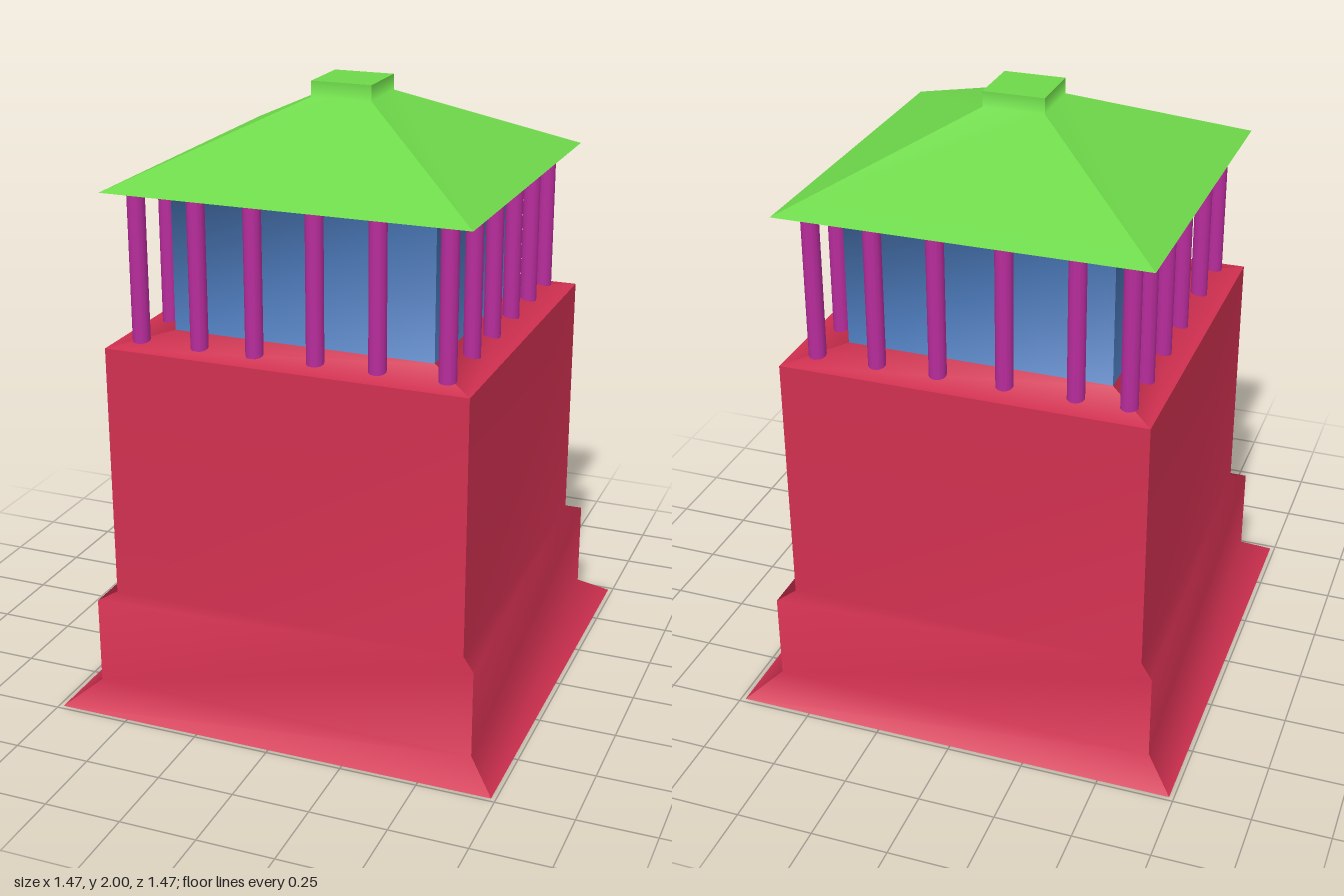
import * as THREE from 'three';
import { mergeGeometries } from 'three/addons/utils/BufferGeometryUtils.js';

const RED = 0xd03050, BLUE = 0x4a78b8, GREEN = 0x6ed84a, PURPLE = 0xb82c9c;

// Four-sided loft of a [half-width, height] profile: smooth along the profile, sharp at the corners.
// Only the bands first..last-1 are kept, so differently coloured parts can share normals.
function squareLoft(profile, first = 0, last = profile.length - 1) {
  const sides = [];
  for (let s = 0; s < 4; s++) {
    const positions = profile.flatMap(([r, y]) => [-r, y, r, r, y, r]);
    const bands = (from, to) => {
      const index = [];
      for (let i = from; i < to; i++) {
        const a = 2 * i;
        index.push(a, a + 1, a + 3, a, a + 3, a + 2);
      }
      return index;
    };
    const side = new THREE.BufferGeometry();
    side.setAttribute('position', new THREE.Float32BufferAttribute(positions, 3));
    side.setIndex(bands(0, profile.length - 1));
    side.computeVertexNormals();
    side.setIndex(bands(first, last));
    sides.push(side.toNonIndexed().rotateY(s * Math.PI / 2));
  }
  return mergeGeometries(sides);
}

// Flat square closing a loft, facing up or down
function lid(half, y, up) {
  const g = new THREE.PlaneGeometry(2 * half, 2 * half);
  return g.rotateX(up ? -Math.PI / 2 : Math.PI / 2).translate(0, y, 0);
}

export function createModel() {
  const model = new THREE.Group();
  const materials = {};
  const add = (name, geometry, color, parent = model) => {
    materials[color] ??= new THREE.MeshStandardMaterial({ color });
    const mesh = new THREE.Mesh(geometry, materials[color]);
    mesh.name = name;
    parent.add(mesh);
    return mesh;
  };

  // Tower body with flared foot and stepped plinth
  add('towerBody', squareLoft([[0.735, 0], [0.64, 0.07], [0.64, 0.36], [0.593, 0.38], [0.593, 1.22]]), RED);
  add('underside', lid(0.735, 0, false), RED);

  // Sloping deck, inner chamber and eave soffit form one continuous profile
  const gallery = [[0.593, 1.22], [0.43, 1.25], [0.43, 1.69], [0.59, 1.715]];
  add('deck', squareLoft(gallery, 0, 1), RED);
  add('chamberWall', squareLoft(gallery, 1, 2), BLUE);
  add('soffit', squareLoft(gallery, 2, 3), GREEN);

  // Hipped roof with a square cap
  add('roof', squareLoft([[0.59, 1.715], [0.1, 1.95], [0.1, 2]]), GREEN);
  add('roofCap', lid(0.1, 2, true), GREEN);

  // Columns around the gallery, slightly unevenly spaced
  const columns = new THREE.Group();
  columns.name = 'columns';
  model.add(columns);
  const columnGeometry = new THREE.CylinderGeometry(0.028, 0.028, 0.475, 12);
  const column = (x, z) => add('column', columnGeometry, PURPLE, columns).position.set(x, 1.4675, z);
  for (const x of [-0.505, 0.5]) for (const z of [-0.51, 0.515]) column(x, z);
  for (const x of [-0.305, -0.12, 0.08, 0.28]) column(x, 0.515);
  for (const x of [-0.34, -0.115, 0.1, 0.3]) column(x, -0.51);
  for (const z of [-0.325, -0.125, 0.08, 0.285]) column(0.5, z);
  for (const z of [-0.335, -0.14, 0.06, 0.31]) column(-0.505, z);

  return model;
}
